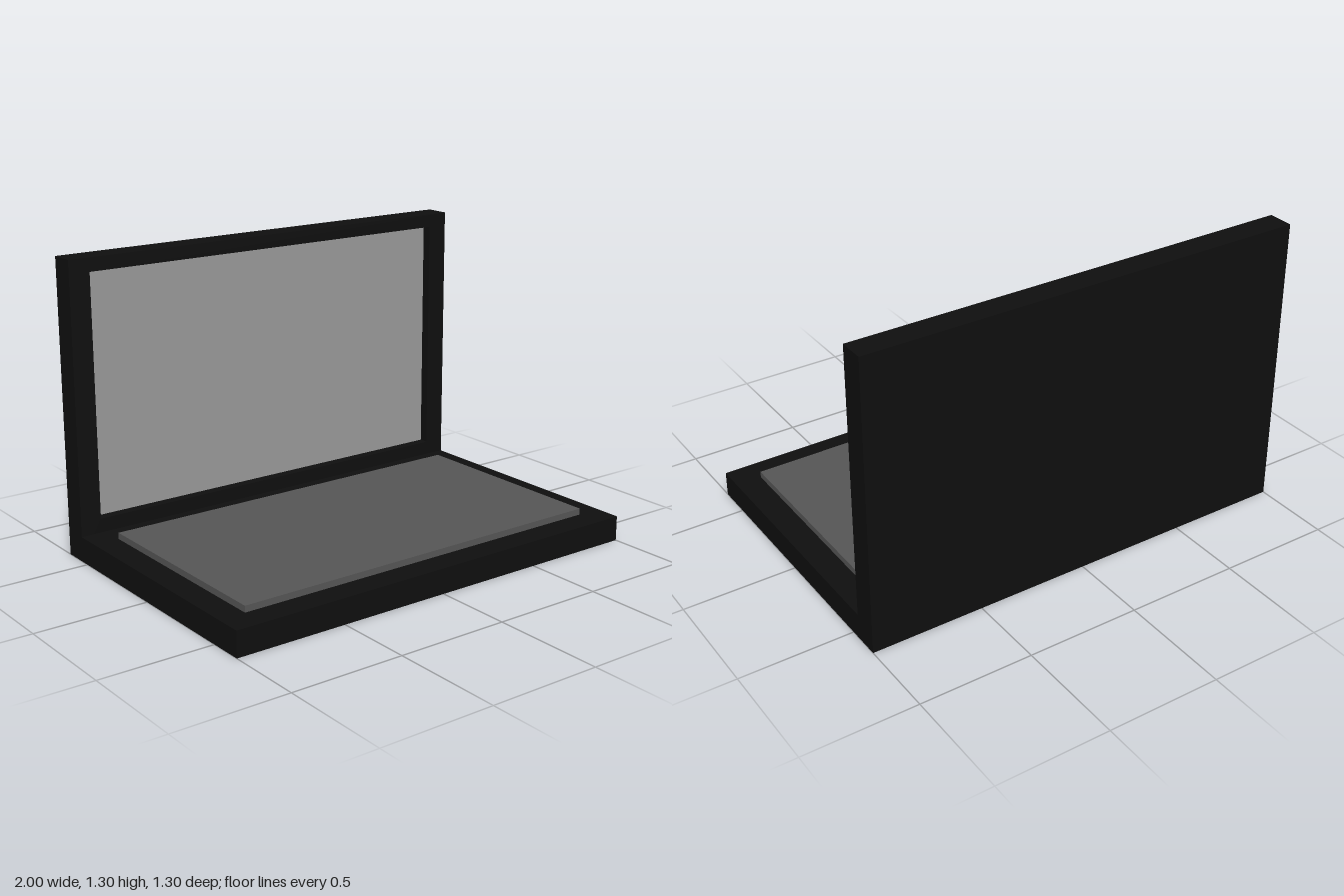
import * as THREE from 'three';

const W = 2, D = 1.305, H = 1.305, T = 0.112; // overall size and slab thickness

function paint(color) {
  return new THREE.MeshStandardMaterial({ color });
}

// Box given by its lower and upper corners
function slab(name, min, max, material) {
  const size = max.map((v, i) => v - min[i]);
  const mesh = new THREE.Mesh(new THREE.BoxGeometry(...size), material);
  mesh.position.set(...max.map((v, i) => (v + min[i]) / 2));
  mesh.name = name;
  return mesh;
}

function rectangle(PathType, x, y0, y1) {
  return new PathType([[-x, y0], [x, y0], [x, y1], [-x, y1]].map(p => new THREE.Vector2(...p)));
}

export function createModel() {
  const model = new THREE.Group();
  model.name = 'laptop';
  const black = paint(0x0f0f0f), darkGrey = paint(0x555555), grey = paint(0x999999);
  const back = -D / 2, recess = 0.045;
  const glass = { x: 0.905, y0: 0.175, y1: 1.245 };

  // Base and raised keyboard panel
  model.add(slab('base', [-W / 2, 0, back + T], [W / 2, T, D / 2], black));
  model.add(slab('keyboard', [-0.885, T, -0.428], [0.885, 0.14, 0.537], darkGrey));

  // Upright lid: solid back plate with a bezel around the sunken screen
  const lid = new THREE.Group();
  lid.name = 'lid';
  lid.add(slab('lidBack', [-W / 2, 0, back], [W / 2, H, back + T - recess], black));
  const frame = rectangle(THREE.Shape, W / 2, 0, H);
  frame.holes.push(rectangle(THREE.Path, glass.x, glass.y0, glass.y1));
  const bezel = new THREE.Mesh(
    new THREE.ExtrudeGeometry(frame, { depth: recess, bevelEnabled: false }), black);
  bezel.position.z = back + T - recess;
  bezel.name = 'bezel';
  lid.add(bezel);

  // Screen panel at the bottom of the recess
  const z = back + T - recess;
  lid.add(slab('screen', [-glass.x, glass.y0, z - 0.01], [glass.x, glass.y1, z + 0.002], grey));
  model.add(lid);
  return model;
}
